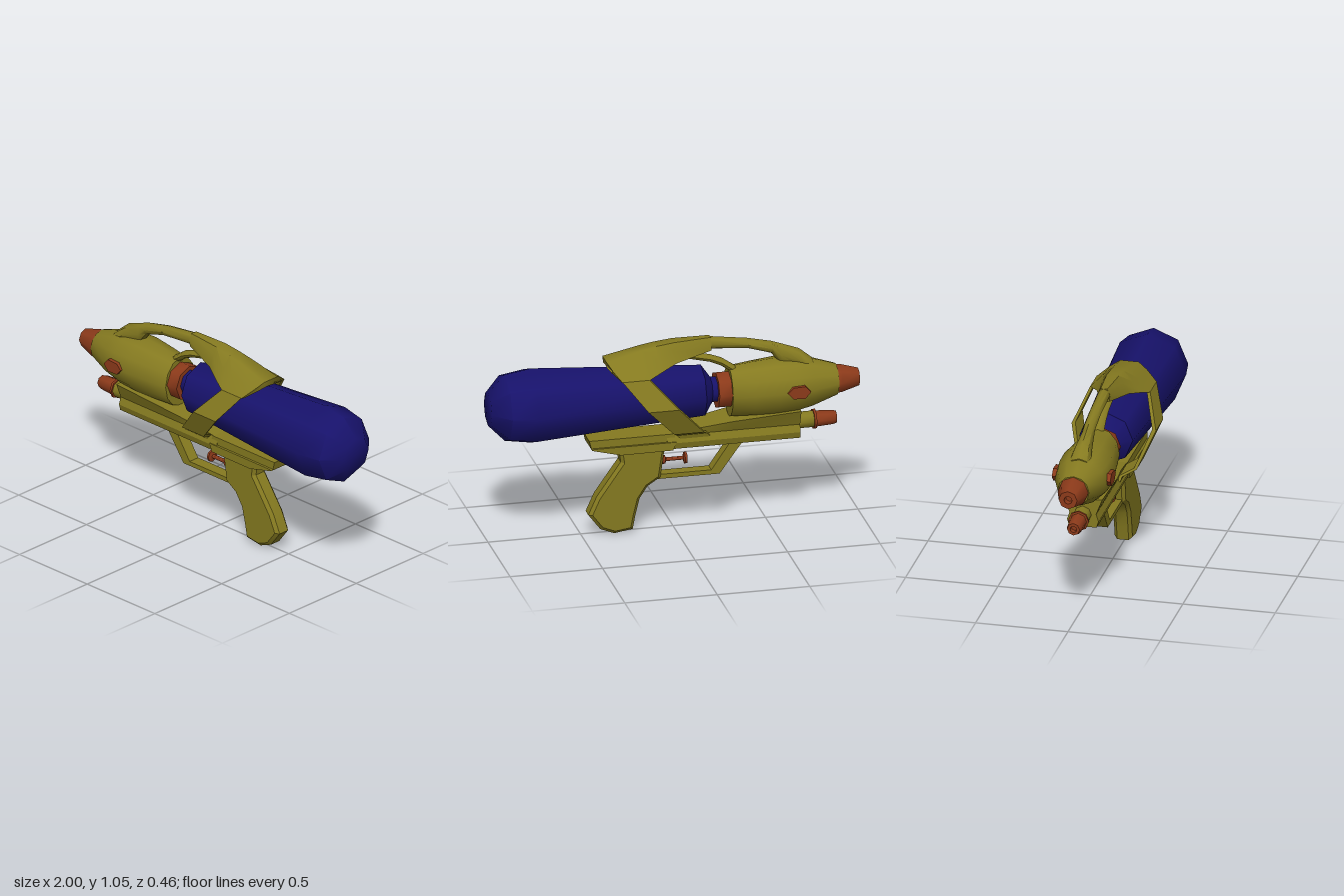
import * as THREE from 'three';
import { toCreasedNormals } from 'three/addons/utils/BufferGeometryUtils.js';

const yellow = new THREE.MeshStandardMaterial({ color: 0x857a20 });
const blue = new THREE.MeshStandardMaterial({ color: 0x17126b });
const orange = new THREE.MeshStandardMaterial({ color: 0x8c3a1a });

// Skin over a list of equal, even-sized rings of [x, y, z]; ends are capped strip-wise
function loft(rings) {
  const n = rings[0].length;
  const pos = [];
  const quad = (a, b, c, d) => pos.push(...a, ...b, ...c, ...a, ...c, ...d);
  for (let i = 0; i < rings.length - 1; i++) {
    for (let j = 0; j < n; j++) {
      const k = (j + 1) % n;
      quad(rings[i][j], rings[i][k], rings[i + 1][k], rings[i + 1][j]);
    }
  }
  const first = rings[0], last = rings[rings.length - 1];
  for (let j = 0; j < n / 2 - 1; j++) {
    quad(first[n - 1 - j], first[n - 2 - j], first[j + 1], first[j]);
    quad(last[j], last[j + 1], last[n - 2 - j], last[n - 1 - j]);
  }
  // Turn the faces outward if the enclosed volume is negative
  let volume = 0;
  const p = (i) => new THREE.Vector3().fromArray(pos, i);
  for (let i = 0; i < pos.length; i += 9) volume += p(i).dot(p(i + 3).cross(p(i + 6)));
  if (volume < 0) {
    for (let i = 0; i < pos.length; i += 9) {
      for (let c = 0; c < 3; c++) [pos[i + 3 + c], pos[i + 6 + c]] = [pos[i + 6 + c], pos[i + 3 + c]];
    }
  }
  const g = new THREE.BufferGeometry();
  g.setAttribute('position', new THREE.Float32BufferAttribute(pos, 3));
  return g;
}

// Side profile extruded evenly about z = 0
function prism(points, half, bevel = 0) {
  const shape = new THREE.Shape(points.map(([x, y]) => new THREE.Vector2(x, y)));
  const depth = 2 * (half - bevel);
  return new THREE.ExtrudeGeometry(shape, {
    depth, bevelEnabled: bevel > 0, bevelSize: bevel, bevelOffset: -bevel,
    bevelThickness: bevel, bevelSegments: 1,
  }).translate(0, 0, -depth / 2);
}

// Turned part along x at height y, from [x, radius] pairs
function turned(points, y, sides = 8) {
  return new THREE.LatheGeometry(points.map(([x, r]) => new THREE.Vector2(r, x)), sides)
    .rotateZ(-Math.PI / 2).translate(0, y, 0);
}

// Oval rings from [x, top, bottom, halfWidth]
const ovals = (rows, sides) => rows.map(([x, top, bottom, w]) =>
  Array.from({ length: sides }, (_, i) => {
    const a = (i / sides) * Math.PI * 2;
    return [x, (top + bottom) / 2 + Math.cos(a) * (top - bottom) / 2, Math.sin(a) * w];
  }));

export function createModel() {
  const group = new THREE.Group();
  const add = (name, geometry, material, crease = 0.85) => {
    const mesh = new THREE.Mesh(toCreasedNormals(geometry, crease), material);
    mesh.name = name;
    group.add(mesh);
  };

  // Barrel housing and its nozzle
  add('barrelHousing', loft(ovals([
    [-0.88, 0.842, 0.672, 0.085], [-0.74, 0.887, 0.625, 0.135], [-0.66, 0.9, 0.607, 0.147],
    [-0.55, 0.905, 0.598, 0.148], [-0.42, 0.893, 0.598, 0.13], [-0.3, 0.88, 0.6, 0.11],
  ], 12)), yellow);
  add('nozzle', turned([[-0.96, 0], [-0.96, 0.022], [-1, 0.022], [-1, 0.05], [-0.9, 0.08], [-0.88, 0.082], [-0.88, 0]], 0.757), orange);

  // Water tank with its collar
  add('tankCollar', turned([[-0.31, 0], [-0.3, 0.1], [-0.23, 0.1], [-0.23, 0.06]], 0.752), orange);
  add('tank', turned([
    [-0.25, 0], [-0.25, 0.07], [-0.2, 0.072], [-0.15, 0.145], [0.77, 0.21], [0.91, 0.187], [1, 0.093], [1, 0],
  ], 0.758), blue);

  // Side plugs
  for (const s of [1, -1]) {
    add('sidePlug', prism([
      [-0.71, 0.757], [-0.68, 0.79], [-0.615, 0.787], [-0.585, 0.757], [-0.615, 0.724], [-0.68, 0.722],
    ], 0.03).translate(0, 0, s * 0.128), orange);
  }

  // Lower frame: rows of [x, top, half width at top]
  add('lowerFrame', loft([
    [-0.67, 0.63, 0.105], [-0.3, 0.605, 0.1], [-0.14, 0.58, 0.08], [0.05, 0.55, 0.07],
  ].map(([x, top, w]) => {
    const half = [[0.47, 0.075], [0.505, 0.085], [0.545, 0.072], [top, w]];
    return [...half.map(([y, z]) => [x, y, z]), ...half.reverse().map(([y, z]) => [x, y, -z])];
  })), yellow, 0.5);
  add('rearShelf', prism([[0, 0.51], [0.457, 0.505], [0.47, 0.555], [0.01, 0.555]], 0.075), yellow);
  add('gripHead', prism([[0.02, 0.467], [0.3, 0.465], [0.457, 0.505], [0.45, 0.512], [0, 0.512]], 0.088), yellow);

  // Grip and trigger guard
  add('grip', prism([
    [0.05, 0.48], [0.075, 0.3], [0.145, 0.255], [0.188, 0.19], [0.21, 0.1], [0.225, 0.02], [0.325, 0.005],
    [0.4, 0.035], [0.465, 0.12], [0.42, 0.22], [0.29, 0.405], [0.3, 0.48],
  ], 0.048, 0.017), yellow, 0.5);
  add('triggerGuard', prism([
    [-0.38, 0.475], [-0.245, 0.29], [0.1, 0.29], [0.1, 0.315], [-0.2, 0.315], [-0.31, 0.475],
  ], 0.032), yellow);
  add('trigger', turned([
    [-0.072, 0], [-0.072, 0.033], [-0.06, 0.033], [-0.055, 0.011], [0.04, 0.011], [0.045, 0.025], [0.08, 0.025],
  ], 0.385), orange);

  // Small lower nozzle
  add('lowerNozzleMount', turned([[-0.77, 0], [-0.77, 0.047], [-0.65, 0.047]], 0.54), yellow);
  add('lowerNozzle', turned([
    [-0.85, 0], [-0.85, 0.018], [-0.88, 0.018], [-0.88, 0.034], [-0.86, 0.04], [-0.77, 0.046],
    [-0.768, 0.056], [-0.755, 0.056], [-0.755, 0],
  ], 0.54), orange);

  // Carrying handle and the thin brace beneath it
  add('carryHandle', loft(ovals([
    [-0.75, 0.89, 0.8, 0.06], [-0.68, 0.948, 0.84, 0.05], [-0.58, 0.985, 0.87, 0.036],
    [-0.53, 1.003, 0.935, 0.033], [-0.4, 1.032, 0.975, 0.033], [-0.2, 1.06, 0.99, 0.033], [-0.08, 1.058, 0.985, 0.033],
  ], 8)), yellow);
  add('handleBrace', loft(ovals([
    [-0.34, 0.88, 0.83, 0.03], [-0.26, 0.935, 0.888, 0.028], [-0.2, 0.958, 0.915, 0.026],
    [-0.1, 0.978, 0.94, 0.026], [0.02, 0.99, 0.955, 0.03],
  ], 8)), yellow);

  // Hood over the tank: three [x, y, z] points per half section, doubled inward for thickness
  add('tankHood', loft([
    [[-0.2, 1.06, 0.018], [-0.2, 1.03, 0.033], [-0.2, 0.99, 0.03]],
    [[0, 1.055, 0.033], [0, 1.015, 0.056], [0, 0.957, 0.085]],
    [[0.1, 1.043, 0.035], [0.1, 0.985, 0.086], [0.1, 0.928, 0.135]],
    [[0.18, 1.028, 0.038], [0.18, 0.97, 0.1], [0.165, 0.905, 0.162]],
    [[0.37, 0.982, 0.05], [0.35, 0.952, 0.1], [0.31, 0.905, 0.162]],
  ].map((half) => {
    const inner = half.map(([x, y, z], i) => [x, y - [0.03, 0.02, 0.004][i], Math.max(z - 0.02, 0.008)]);
    const mirror = (pts) => pts.map(([x, y, z]) => [x, y, -z]);
    return [...mirror(half).reverse(), ...half, ...inner.reverse(), ...mirror(inner)];
  })), yellow);

  // Slanted straps round the tank: rows of [y, z, front x, rear x, inner z]
  for (const s of [1, -1]) {
    add('tankStrap', loft([
      [0.907, 0.162, 0.165, 0.31, 0.143], [0.75, 0.228, 0.02, 0.185, 0.208],
      [0.585, 0.16, -0.13, 0.03, 0.145], [0.55, 0.09, -0.162, 0, 0.075], [0.528, 0.084, -0.182, -0.02, 0.07],
    ].map(([y, z, front, rear, inner]) => [
      [front, y, s * z], [rear, y, s * z], [rear, y + 0.006, s * inner], [front, y + 0.006, s * inner],
    ])), yellow, 0.5);
  }

  return group;
}
